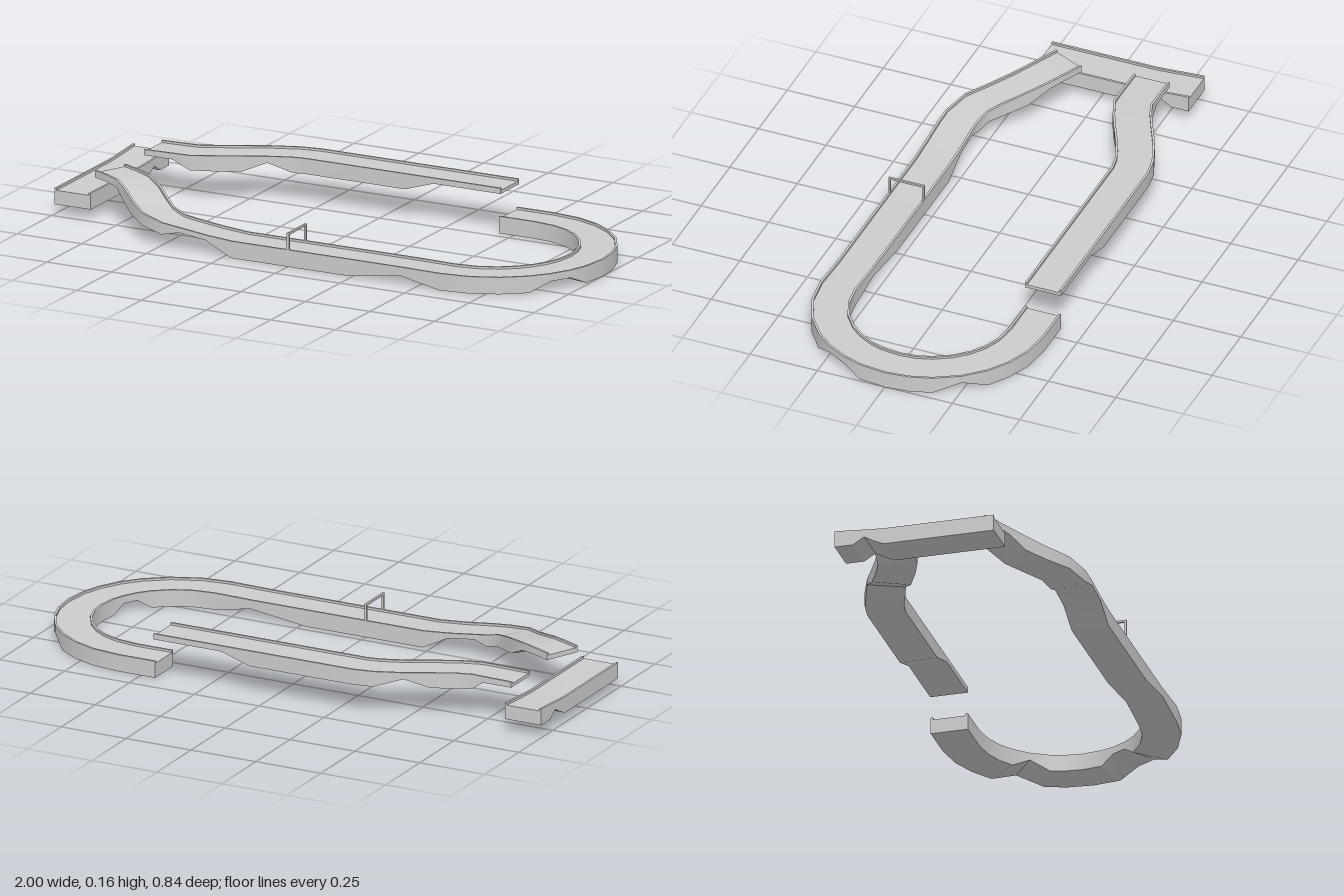
import * as THREE from 'three';
import { toCreasedNormals } from 'three/addons/utils/BufferGeometryUtils.js';

const material = new THREE.MeshStandardMaterial({ color: 0xcccccc });

// Sweeps a rimmed channel along stations [x, z, rimTop, bottom].
function channel(name, stations, half, rimWidth = 0.008, rimHeight = 0.008) {
  const dir = (a, b) => new THREE.Vector2(b[0] - a[0], b[1] - a[1]).normalize();
  const last = stations.length - 1;
  const rings = stations.map((s, k) => {
    const before = dir(stations[Math.max(k - 1, 0)], stations[Math.max(k, 1)]);
    const after = dir(stations[Math.min(k, last - 1)], stations[Math.min(k + 1, last)]);
    const d = before.clone().add(after).normalize();
    const miter = 1 / d.dot(after);
    const [x, z, top, bottom] = s;
    const inner = half - rimWidth, floor = top - rimHeight;
    const section = [
      [-half, bottom], [half, bottom], [half, top], [inner, top],
      [inner, floor], [-inner, floor], [-inner, top], [-half, top],
    ];
    return section.map(([u, y]) => [x - d.y * u * miter, y, z + d.x * u * miter]);
  });
  const pos = [];
  const quad = (a, b, c, d) => pos.push(...a, ...b, ...c, ...a, ...c, ...d);
  for (let k = 0; k < last; k++) {
    const p = rings[k], q = rings[k + 1];
    for (let i = 0; i < 8; i++) {
      const j = (i + 1) % 8;
      quad(p[i], q[i], q[j], p[j]);
    }
  }
  // End caps
  for (const [a, b, c, d] of [[1, 2, 3, 4], [0, 1, 4, 5], [0, 5, 6, 7]]) {
    const s = rings[0], e = rings[last];
    quad(s[a], s[b], s[c], s[d]);
    quad(e[d], e[c], e[b], e[a]);
  }
  const geo = new THREE.BufferGeometry();
  geo.setAttribute('position', new THREE.Float32BufferAttribute(pos, 3));
  const mesh = new THREE.Mesh(toCreasedNormals(geo, 0.45), material);
  mesh.name = name;
  return mesh;
}

export function createModel() {
  const model = new THREE.Group();
  model.name = 'raceTrack';

  // Lower track: descending ramp, front straight, then the U-turn
  const lower = [
    [-0.85, 0.105, 0.155, 0.13], [-0.79, 0.133, 0.155, 0.13], [-0.73, 0.163, 0.152, 0.125],
    [-0.67, 0.21, 0.138, 0.085], [-0.61, 0.268, 0.118, 0.068], [-0.55, 0.32, 0.102, 0.058],
    [-0.48, 0.343, 0.087, 0.045], [-0.42, 0.345, 0.08, 0.062], [-0.32, 0.345, 0.068, 0.05],
    [-0.22, 0.345, 0.06, 0], [0.23, 0.345, 0.06, 0], [0.44, 0.345, 0.06, 0.028],
  ];
  const raised = [35, 24, -37]; // angles where the underside is notched
  for (const deg of [90, 75, 60, 46, 35, 24, 14, 0, -12, -23, -37, -50, -62, -75, -90]) {
    const a = THREE.MathUtils.degToRad(deg);
    lower.push([0.585 + 0.35 * Math.cos(a), 0.35 * Math.sin(a), 0.06, raised.includes(deg) ? 0.033 : 0]);
  }
  lower.push([0.445, -0.35, 0.06, 0]);
  model.add(channel('lowerTrack', lower, 0.066));

  // Upper track: back straight bending inward
  model.add(channel('upperTrack', [
    [-0.85, -0.202, 0.155, 0.135], [-0.74, -0.202, 0.157, 0.135], [-0.685, -0.203, 0.158, 0.105],
    [-0.62, -0.228, 0.16, 0.105], [-0.54, -0.267, 0.16, 0.105], [-0.46, -0.308, 0.16, 0.137],
    [-0.37, -0.342, 0.16, 0.105], [-0.31, -0.352, 0.16, 0.105], [0.08, -0.352, 0.16, 0.105],
    [0.19, -0.352, 0.16, 0.14], [0.45, -0.352, 0.16, 0.14],
  ], 0.067));

  // Cross piece joining the two ends
  model.add(channel('crossTrack', [
    [-0.93, 0.23, 0.093, 0.035], [-0.93, -0.16, 0.093, 0.035], [-0.93, -0.195, 0.095, 0.05],
    [-0.93, -0.23, 0.097, 0.07], [-0.93, -0.27, 0.1, 0.045], [-0.93, -0.335, 0.104, 0.045],
  ], 0.07));

  // Gate over the front straight
  const gate = new THREE.Group();
  gate.name = 'gate';
  const bar = (name, w, h, d, y, z) => {
    const mesh = new THREE.Mesh(new THREE.BoxGeometry(w, h, d), material);
    mesh.name = name;
    mesh.position.set(0, y, z);
    gate.add(mesh);
  };
  for (const side of [-1, 1]) bar('gatePost', 0.008, 0.068, 0.007, 0.086, 0.345 + side * 0.0625);
  bar('gateBeam', 0.008, 0.007, 0.132, 0.1165, 0.345);
  model.add(gate);

  return model;
}
